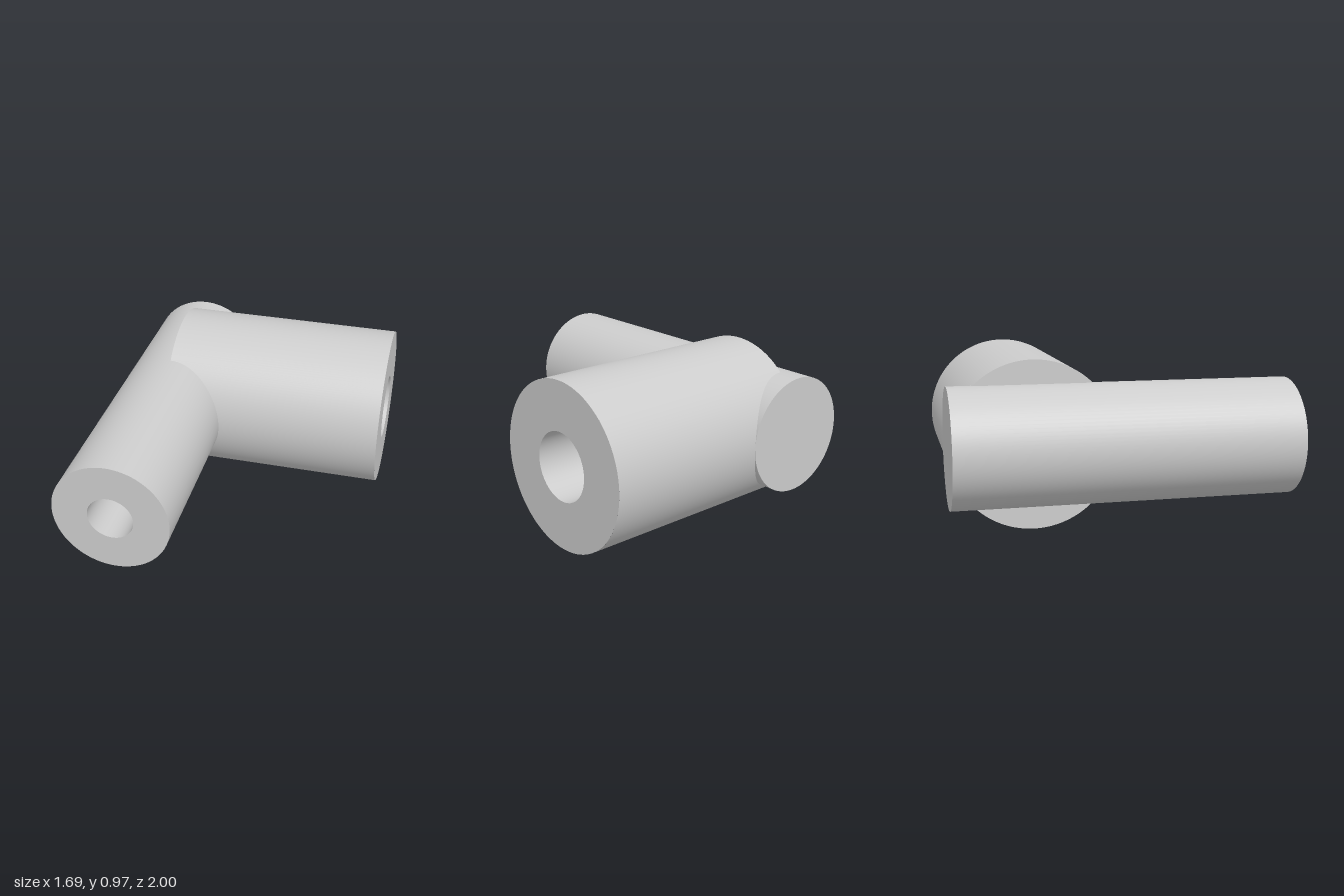
import * as THREE from 'three';

const CY = 0.487;            // height of both axes
const XA = -0.498, RA = 0.347; // narrow arm: runs along z
const ZB = -0.513, RB = 0.487; // wide arm: runs along x
const RBORE = 0.136, RWIDE = 0.2;
const END_X = 0.845, BACK = -1, FRONT = 1;
const N = 48, H = Math.PI / 2;

const range = (a, b, n = N) => Array.from({ length: n + 1 }, (_, i) => a + (b - a) * i / n);

// Cylinder wall along 'x' or 'z' whose two ends may vary with the angle
function wall(axis, r, angles, from, to, inside = false) {
  const pos = [], nor = [], idx = [], s = inside ? -1 : 1;
  angles.forEach((a, i) => {
    const c = Math.cos(a), h = Math.sin(a);
    for (const t of [from(a), to(a)]) {
      if (axis === 'z') {
        pos.push(XA + r * c, CY + r * h, t);
        nor.push(s * c, s * h, 0);
      } else {
        pos.push(t, CY + r * h, ZB + r * c);
        nor.push(0, s * h, s * c);
      }
    }
    if (i === 0) return;
    const p = 2 * i - 2;
    if ((axis === 'x') !== inside) idx.push(p, p + 3, p + 2, p, p + 1, p + 3);
    else idx.push(p, p + 2, p + 3, p, p + 3, p + 1);
  });
  const g = new THREE.BufferGeometry();
  g.setAttribute('position', new THREE.Float32BufferAttribute(pos, 3));
  g.setAttribute('normal', new THREE.Float32BufferAttribute(nor, 3));
  g.setIndex(idx);
  return g;
}

export function createModel() {
  const metal = new THREE.MeshStandardMaterial({ color: 0xcccccc });
  metal.name = 'light grey metal';
  const model = new THREE.Group();
  const narrowArm = new THREE.Group(), wideArm = new THREE.Group();
  narrowArm.name = 'narrowArm';
  wideArm.name = 'wideArm';
  model.add(narrowArm, wideArm);
  const add = (group, name, geometry) => {
    const m = new THREE.Mesh(geometry, metal);
    m.name = name;
    group.add(m);
  };
  const at = v => () => v;

  // Narrow arm: outer wall, cut away where the wide arm joins
  const leftHalf = range(H, 3 * H), rightHalf = range(-H, H);
  const cut = a => Math.sqrt(RB * RB - (RA * Math.sin(a)) ** 2);
  add(narrowArm, 'armWallOuterSide', wall('z', RA, leftHalf, at(BACK), at(FRONT)));
  add(narrowArm, 'armWallFront', wall('z', RA, rightHalf, a => ZB + cut(a), at(FRONT)));
  add(narrowArm, 'armWallBack', wall('z', RA, rightHalf, at(BACK), a => ZB - cut(a)));
  add(narrowArm, 'closedEnd', new THREE.CircleGeometry(RA, 2 * N).rotateY(Math.PI).translate(XA, CY, BACK));
  add(narrowArm, 'openEnd', new THREE.RingGeometry(RBORE, RA, 2 * N).translate(XA, CY, FRONT));

  // Narrow arm: bore, mitred into the crossing bore
  add(narrowArm, 'boreOuterSide', wall('z', RBORE, leftHalf, at(ZB), at(FRONT), true));
  add(narrowArm, 'boreInnerSide', wall('z', RBORE, rightHalf, a => ZB + RBORE * Math.cos(a), at(FRONT), true));
  add(narrowArm, 'boreFloor', new THREE.CircleGeometry(RBORE, N, H, Math.PI).translate(XA, CY, ZB));

  // Wide arm: outer wall, saddle-cut on the narrow arm
  const a0 = Math.asin(RA / RB);
  const saddle = range(-H, H).map(t => Math.asin(RA * Math.sin(t) / RB));
  const saddleX = a => XA + Math.sqrt(Math.max(0, RA * RA - (RB * Math.sin(a)) ** 2));
  for (const turn of [0, Math.PI]) {
    add(wideArm, 'saddleWall', wall('x', RB, saddle.map(a => a + turn), saddleX, at(END_X)));
    add(wideArm, 'freeWall', wall('x', RB, range(a0 + turn, Math.PI - a0 + turn), at(XA), at(END_X)));
    const segment = new THREE.Shape();
    segment.absarc(0, 0, RB, a0 + turn, Math.PI - a0 + turn, false);
    add(wideArm, 'innerEnd', new THREE.ShapeGeometry(segment, N).rotateY(-H).translate(XA, CY, ZB));
  }
  add(wideArm, 'openEnd', new THREE.RingGeometry(RWIDE, RB, 2 * N).rotateY(H).translate(END_X, CY, ZB));

  // Wide arm: large bore with a rounded bottom
  const ballX = 0.1, limit = Math.acos(RBORE / RWIDE);
  const profile = [new THREE.Vector2(RWIDE, END_X),
    ...range(0, limit, 10).map(p => new THREE.Vector2(RWIDE * Math.cos(p), ballX - RWIDE * Math.sin(p)))];
  add(wideArm, 'wideBore', new THREE.LatheGeometry(profile, 2 * N).rotateZ(-H).translate(0, CY, ZB));

  // Wide arm: small bore leading to the corner
  const neckX = ballX - RWIDE * Math.sin(limit);
  add(wideArm, 'neckFront', wall('x', RBORE, rightHalf, a => XA + RBORE * Math.cos(a), at(neckX), true));
  add(wideArm, 'neckBack', wall('x', RBORE, leftHalf, at(XA), at(neckX), true));
  add(wideArm, 'neckFloor', new THREE.CircleGeometry(RBORE, N, -H, Math.PI).rotateY(H).translate(XA, CY, ZB));

  return model;
}
